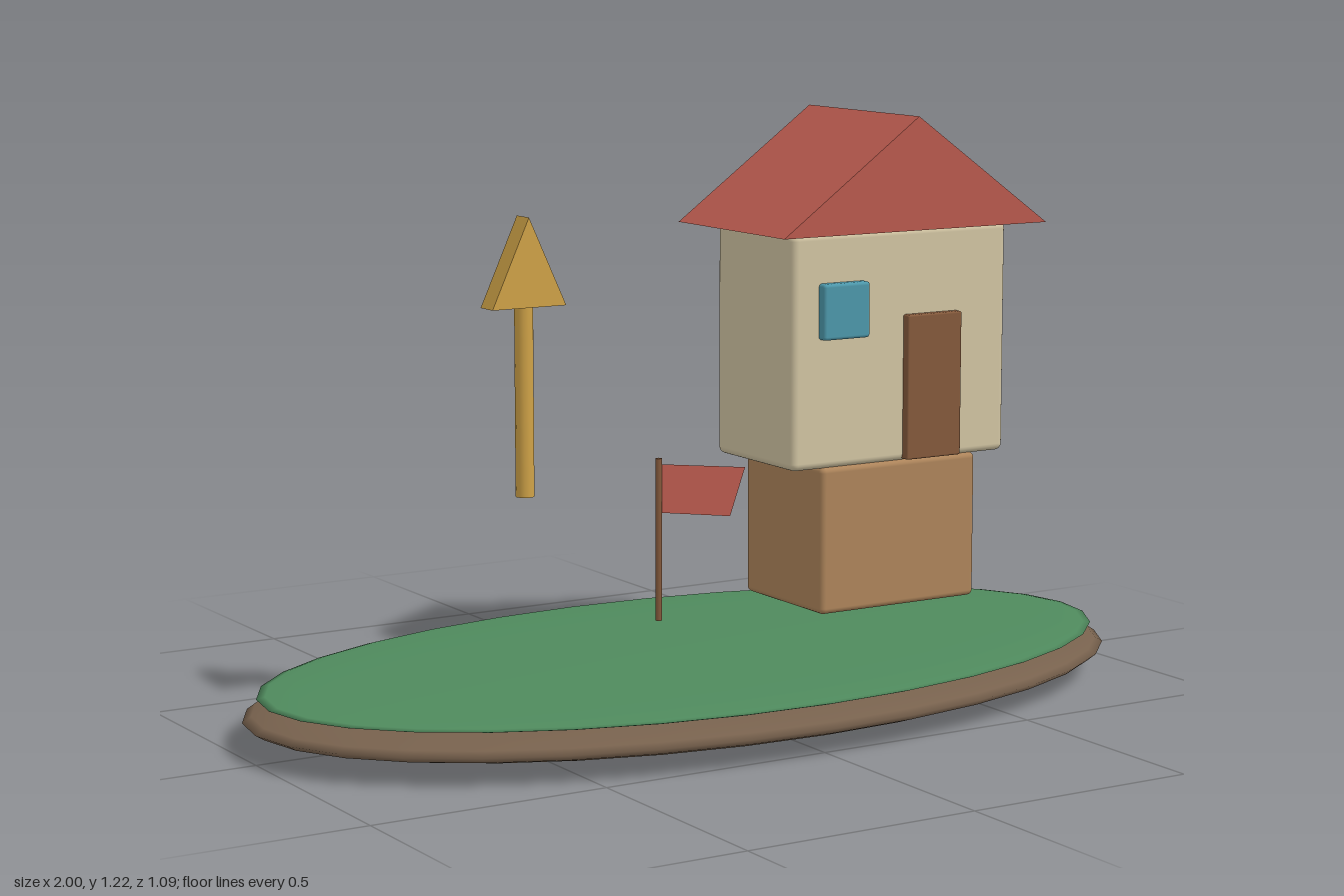
import * as THREE from 'three';
import { RoundedBoxGeometry } from 'three/addons/geometries/RoundedBoxGeometry.js';

const red = 0xb95a4e, gold = 0xd0a348, wood = 0x855a3c;

export function createModel() {
  const model = new THREE.Group();

  function add(name, geometry, color, parent = model, side = THREE.FrontSide) {
    const mesh = new THREE.Mesh(geometry, new THREE.MeshStandardMaterial({ color, side }));
    mesh.name = name;
    parent.add(mesh);
    return mesh;
  }

  // Rounded box given by its extents
  function block(name, [x0, x1], [y0, y1], [z0, z1], radius, color, parent) {
    const box = new RoundedBoxGeometry(x1 - x0, y1 - y0, z1 - z0, 3, radius);
    add(name, box, color, parent).position.set((x0 + x1) / 2, (y0 + y1) / 2, (z0 + z1) / 2);
  }

  // Triangular prism centred on z = 0
  function gable(name, [x0, x1], [y0, y1], depth, color, parent) {
    const shape = new THREE.Shape([
      new THREE.Vector2(x0, y0), new THREE.Vector2(x1, y0), new THREE.Vector2((x0 + x1) / 2, y1),
    ]);
    const prism = new THREE.ExtrudeGeometry(shape, { depth, bevelEnabled: false });
    add(name, prism.translate(0, 0, -depth / 2), color, parent);
  }

  // Island: flattened earth with a thinner grass cap
  function disc(name, rx, ry, rz, y, color) {
    const mesh = add(name, new THREE.SphereGeometry(1, 32, 16), color);
    mesh.scale.set(rx, ry, rz);
    mesh.position.y = y;
  }
  disc('islandEarth', 1, 0.059, 0.545, 0.059, 0x77614d);
  disc('islandGrass', 0.97, 0.017, 0.523, 0.104, 0x4f8a5d);

  // House on its narrower base
  const house = new THREE.Group();
  house.name = 'house';
  model.add(house);
  block('houseBase', [0.226, 0.62], [0.185, 0.497], [-0.147, 0.147], 0.012, 0xae855b, house);
  block('houseWalls', [0.152, 0.694], [0.495, 0.988], [-0.147, 0.147], 0.015, 0xd2c5a3, house);
  gable('roof', [0.092, 0.754], [0.988, 1.224], 0.41, red, house);
  block('door', [0.429, 0.567], [0.499, 0.806], [0.14, 0.165], 0.004, wood, house);
  block('window', [0.216, 0.331], [0.767, 0.884], [0.14, 0.168], 0.007, 0x4d98ab, house);

  // Flag on a thin pole
  const flag = new THREE.Group();
  flag.name = 'flag';
  model.add(flag);
  add('flagPole', new THREE.CylinderGeometry(0.007, 0.007, 0.342, 10), wood, flag)
    .position.set(-0.082, 0.354, 0);
  const cloth = new THREE.Shape([
    new THREE.Vector2(-0.077, 0.41), new THREE.Vector2(0.093, 0.386),
    new THREE.Vector2(0.13, 0.487), new THREE.Vector2(-0.077, 0.512),
  ]);
  add('flagCloth', new THREE.ShapeGeometry(cloth), red, flag, THREE.DoubleSide);

  // Floating arrow signpost
  const arrow = new THREE.Group();
  arrow.name = 'arrow';
  model.add(arrow);
  add('arrowShaft', new THREE.CylinderGeometry(0.019, 0.019, 0.387, 12), gold, arrow)
    .position.set(-0.397, 0.669, 0);
  gable('arrowHead', [-0.481, -0.313], [0.862, 1.043], 0.05, gold, arrow);

  return model;
}
